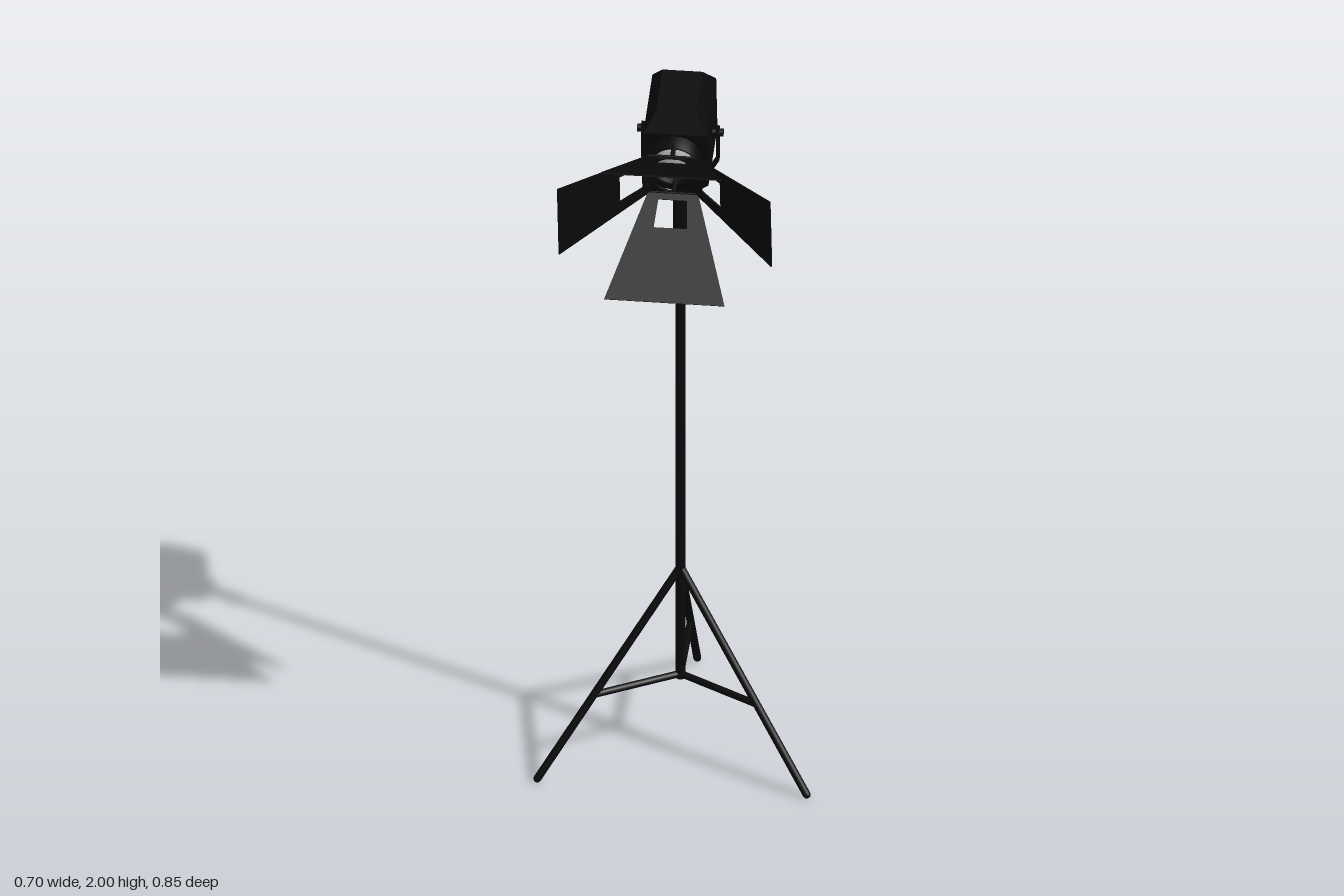
import * as THREE from 'three';
import { ConvexGeometry } from 'three/addons/geometries/ConvexGeometry.js';

const black = new THREE.MeshStandardMaterial({ color: 0x0a0a0a, side: THREE.DoubleSide });
const blackFlat = new THREE.MeshStandardMaterial({ color: 0x0a0a0a, flatShading: true });
const grey = new THREE.MeshStandardMaterial({ color: 0xcccccc });

const V = (x, y, z) => new THREE.Vector3(x, y, z);

function add(parent, name, geometry, material = black) {
  const mesh = new THREE.Mesh(geometry, material);
  mesh.name = name;
  parent.add(mesh);
  return mesh;
}

// Round bar between two points
function rod(parent, name, a, b, r, sides = 16) {
  const mesh = add(parent, name, new THREE.CylinderGeometry(r, r, a.distanceTo(b), sides));
  mesh.position.copy(a).add(b).multiplyScalar(0.5);
  mesh.quaternion.setFromUnitVectors(V(0, 1, 0), b.clone().sub(a).normalize());
  return mesh;
}

function polygon(points, Type = THREE.Shape) {
  return new Type(points.map(([x, y]) => new THREE.Vector2(x, y)));
}

// Tapered flap with a window near its hinge
function doorGeometry(baseHalf, endHalf, length) {
  const shape = polygon([[-baseHalf, 0], [baseHalf, 0], [endHalf, length], [-endHalf, length]]);
  shape.holes.push(polygon([[-0.036, 0.018], [-0.042, 0.09], [0.042, 0.09], [0.036, 0.018]], THREE.Path));
  const geometry = new THREE.ExtrudeGeometry(shape, { depth: 0.004, bevelEnabled: false });
  return geometry.translate(0, 0, -0.002);
}

function createStand() {
  const stand = new THREE.Group();
  stand.name = 'stand';
  rod(stand, 'pole', V(0, 0.21, 0), V(0, 1.54, 0), 0.0125);
  rod(stand, 'poleCollar', V(0, 1.53, 0), V(0, 1.66, 0), 0.019);
  rod(stand, 'mountPin', V(0, 1.65, 0), V(0, 1.7, 0), 0.008);
  // Three legs with a brace each
  for (let i = 0; i < 3; i++) {
    const leg = new THREE.Group();
    leg.name = 'legAssembly';
    leg.rotation.y = Math.PI + i * Math.PI * 2 / 3;
    rod(leg, 'leg', V(0, 0.54, 0), V(0, 0.01, 0.39), 0.01);
    rod(leg, 'brace', V(0, 0.22, 0), V(0, 0.22, 0.236), 0.009);
    add(leg, 'foot', new THREE.SphereGeometry(0.01, 12, 8)).position.set(0, 0.01, 0.39);
    stand.add(leg);
  }
  return stand;
}

function createYoke() {
  const yoke = new THREE.Group();
  yoke.name = 'yoke';
  const right = [[0.098, 1.86], [0.098, 1.765], [0.055, 1.69]];
  const inner = [[0.047, 1.7], [0.09, 1.768], [0.09, 1.86]];
  const mirror = (pts) => pts.map(([x, y]) => [-x, y]).reverse();
  const shape = polygon([...right, ...mirror(right), ...mirror(inner), ...inner]);
  const strap = new THREE.ExtrudeGeometry(shape, { depth: 0.018, bevelEnabled: false });
  add(yoke, 'strap', strap.translate(0, 0, -0.009));
  for (const s of [-1, 1]) rod(yoke, 'pivotKnob', V(s * 0.07, 1.845, 0), V(s * 0.108, 1.845, 0), 0.01);
  return yoke;
}

function createHead() {
  const head = new THREE.Group();
  head.name = 'lampHead';

  // Housing with chamfered top and bottom
  const corners = [];
  for (const [y, x, z] of [[0.134, 0.05, 0.074], [0.084, 0.08, 0.106]])
    for (const sx of [-1, 1]) for (const sy of [-1, 1]) for (const sz of [-1, 1])
      corners.push(V(sx * x, sy * y, sz * z));
  add(head, 'housing', new ConvexGeometry(corners), blackFlat);

  // Everything in front shares one optical axis
  const front = new THREE.Group();
  front.name = 'frontAssembly';
  front.position.y = 0.014;
  head.add(front);

  const snoot = [[0.064, 0.1], [0.064, 0.146], [0.057, 0.146], [0.057, 0.1]];
  const tube = new THREE.LatheGeometry(snoot.map(([r, z]) => new THREE.Vector2(r, z)), 32);
  add(front, 'snoot', tube.rotateX(Math.PI / 2));

  const lens = add(front, 'lens', new THREE.SphereGeometry(0.055, 32, 12, 0, Math.PI * 2, 0, Math.PI / 2), grey);
  lens.geometry.rotateX(Math.PI / 2);
  lens.scale.z = 0.5;
  lens.position.z = 0.108;

  // Square frame with a round opening
  const square = polygon([[-0.063, -0.063], [0.063, -0.063], [0.063, 0.063], [-0.063, 0.063]]);
  square.holes.push(new THREE.Path().absarc(0, 0, 0.056, 0, Math.PI * 2, true));
  const frame = new THREE.ExtrudeGeometry(square, { depth: 0.006, bevelEnabled: false, curveSegments: 24 });
  add(front, 'doorFrame', frame.translate(0, 0, 0.174));

  // Four hinged barn doors: top, left, bottom, right
  for (let i = 0; i < 4; i++) {
    const upright = i % 2 === 0;
    const side = new THREE.Group();
    side.name = 'barnDoorAssembly';
    side.rotation.z = -i * Math.PI / 2;
    const door = add(side, 'barnDoor', doorGeometry(0.063, upright ? 0.151 : 0.111, 0.281));
    door.position.set(0, 0.061, 0.18);
    door.rotation.x = THREE.MathUtils.degToRad(upright ? 56.3 : 43);
    rod(side, 'hinge', V(-0.06, 0.061, 0.179), V(0.06, 0.061, 0.179), 0.004, 10);
    rod(side, 'frameStrut', V(0, 0.06, 0.14), V(0, 0.06, 0.177), 0.006, 10);
    front.add(side);
  }

  // Tip the lamp forward
  head.position.y = 1.845;
  head.rotation.x = THREE.MathUtils.degToRad(10);
  return head;
}

export function createModel() {
  const model = new THREE.Group();
  model.name = 'studioSpotlight';
  model.add(createStand(), createYoke(), createHead());
  model.position.z = -0.02;
  const root = new THREE.Group();
  root.name = 'studioLight';
  root.add(model);
  return root;
}
